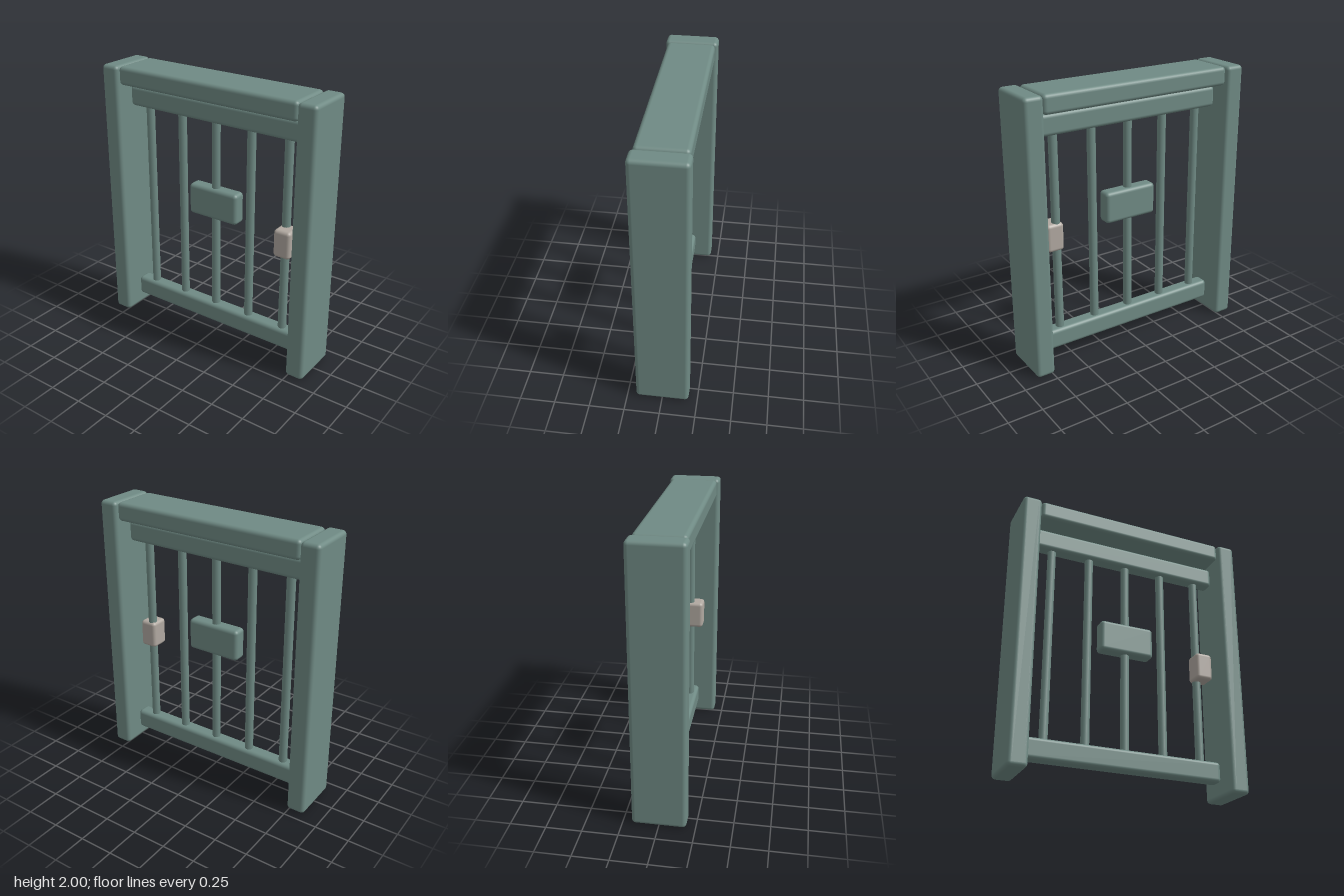
import * as THREE from 'three';
import { RoundedBoxGeometry } from 'three/addons/geometries/RoundedBoxGeometry.js';

export function createModel() {
  const gate = new THREE.Group();
  gate.name = 'barredGate';
  const paint = new THREE.MeshStandardMaterial({ color: 0x6f8a84 });
  const metal = new THREE.MeshStandardMaterial({ color: 0xb0a8a0 });

  function add(name, geometry, material, x, y, z = 0) {
    const mesh = new THREE.Mesh(geometry, material);
    mesh.name = name;
    mesh.position.set(x, y, z);
    gate.add(mesh);
  }
  const block = (w, h, d, r = 0.028) => new RoundedBoxGeometry(w, h, d, 3, r);

  // Side posts
  for (const side of [-1, 1]) {
    add(side > 0 ? 'leftPost' : 'rightPost', block(0.138, 2, 0.376), paint, side * 0.8, 1);
  }

  // Lintel and the two rails holding the bars
  add('lintel', block(1.454, 0.134, 0.344), paint, 0, 1.933);
  add('upperRail', block(1.454, 0.15, 0.11), paint, 0, 1.764);
  add('lowerRail', block(1.454, 0.15, 0.11), paint, 0, 0.176);

  // Vertical bars, ends sunk into the rails
  for (let i = -2; i <= 2; i++) {
    add('bar', new THREE.CylinderGeometry(0.031, 0.031, 1.56, 12), paint, i * 0.293, 0.97);
  }

  // Centre plate and lock box
  add('centrePlate', block(0.41, 0.234, 0.108), paint, 0, 1.083);
  add('lockBox', block(0.13, 0.205, 0.14, 0.025), metal, 0.607, 0.96, 0.03);

  return gate;
}
